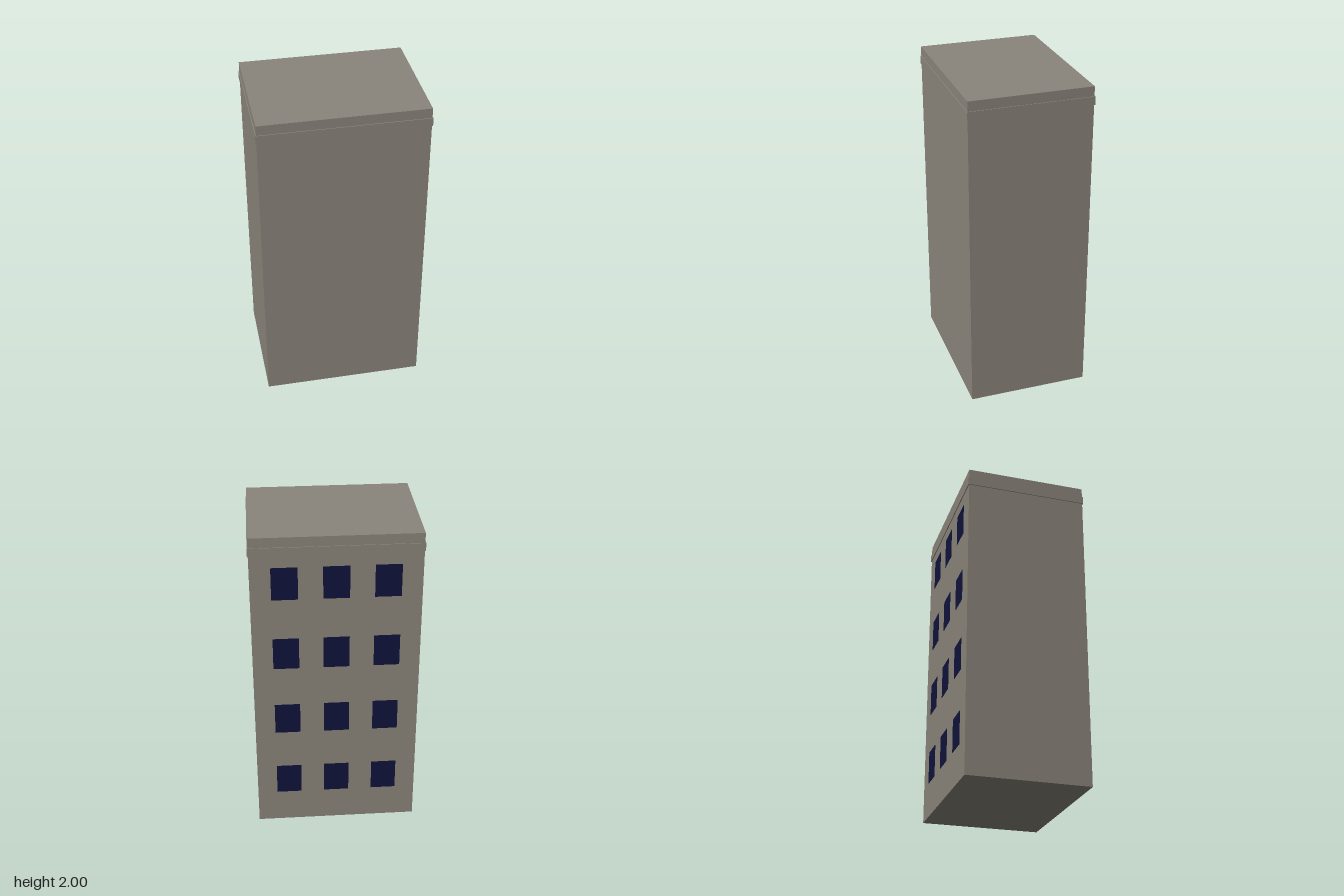
import * as THREE from 'three';

export function createModel() {
  const building = new THREE.Group();
  building.name = 'apartmentBlock';

  const wall = new THREE.MeshStandardMaterial({ color: 0x8b857b });
  const glass = new THREE.MeshStandardMaterial({ color: 0x10133c });

  const addBox = (name, material, [w, h, d], [x, y, z], parent = building) => {
    const mesh = new THREE.Mesh(new THREE.BoxGeometry(w, h, d), material);
    mesh.name = name;
    mesh.position.set(x, y, z);
    parent.add(mesh);
    return mesh;
  };

  // Main block and the band just below the roof
  addBox('walls', wall, [1, 2, 0.75], [0, 1, 0]);
  addBox('cornice', wall, [1.01, 0.05, 0.76], [0, 1.915, 0]);

  // Four floors of three flush windows on the back
  const windows = new THREE.Group();
  windows.name = 'windows';
  building.add(windows);
  for (let floor = 0; floor < 4; floor++) {
    for (const x of [-0.3, 0, 0.3]) {
      addBox('window', glass, [0.155, 0.205, 0.004], [x, 0.322 + floor * 0.463, -0.375], windows);
    }
  }

  return building;
}
